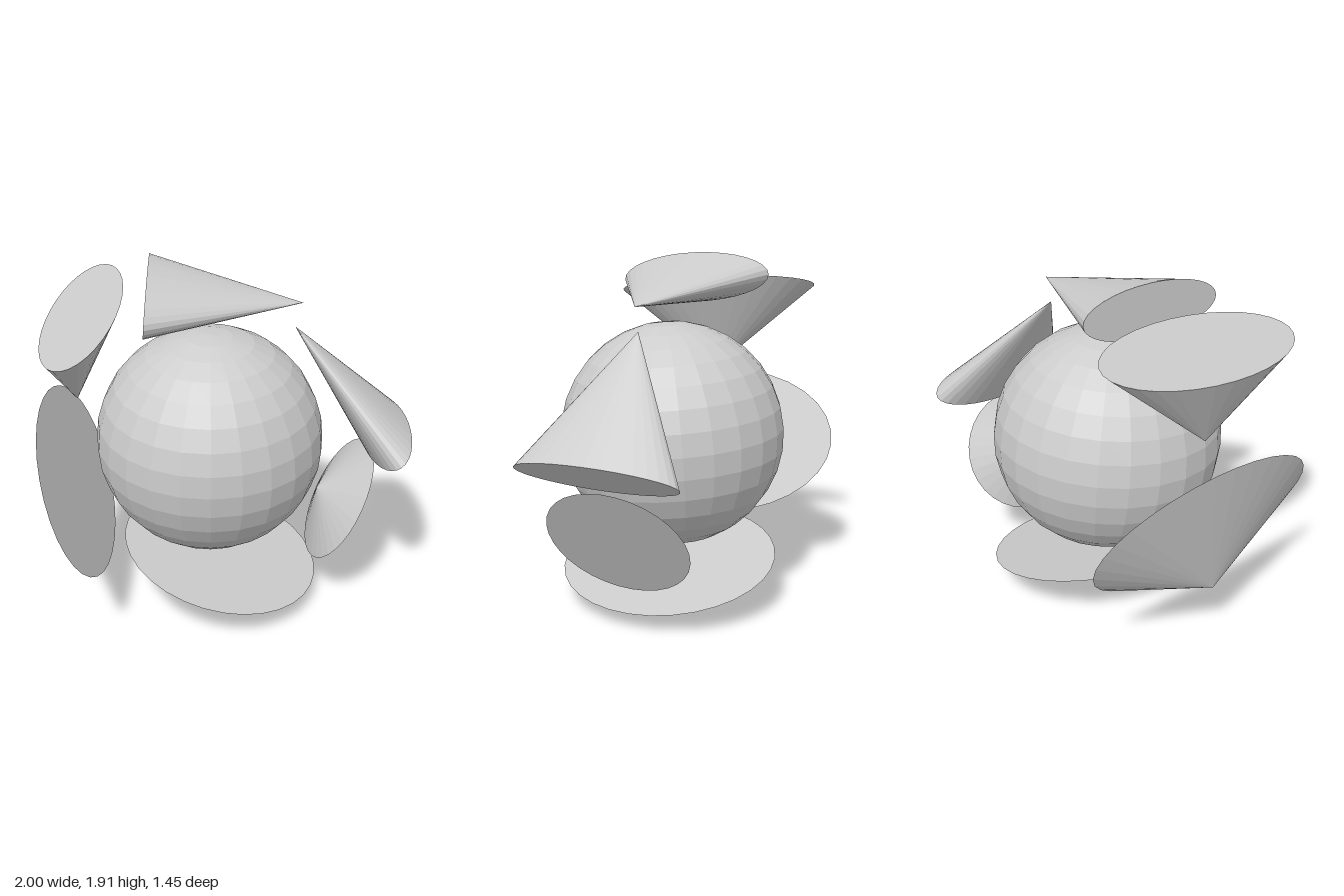
import * as THREE from 'three';

// apex [x, y], base centre [x, y], half width of the base in the xy plane, depth axis of the base
const CONES = [
  ['topCone', [0.41, 1.70], [-0.405, 1.765], [0.011, 0.139], [-0.018, -0.035, 0.44]],
  ['upperLeftCone', [-0.79, 1.19], [-0.74, 1.67], [0.2125, 0.089], [-0.033, -0.055, 0.61]],
  ['lowerLeftCone', [-0.90, 0.355], [-0.815, 0.72], [0.183, -0.412], [-0.028, -0.05, 0.725]],
  ['bottomCone', [-0.08, 0], [-0.025, 0.227], [0.545, -0.13], [-0.025, -0.025, 0.615]],
  ['lowerRightCone', [0.52, 0.60], [0.645, 0.53], [0.175, 0.313], [-0.003, 0, 0.395]],
  ['upperRightCone', [0.37, 1.57], [0.888, 0.938], [0.11, 0.09], [0, 0.005, 0.44]],
];

// Elliptical closed cone, stretched onto its base axes and apex
function coneGeometry(apex, base, half, depth) {
  const tip = new THREE.Vector3(apex[0], apex[1], 0);
  const centre = new THREE.Vector3(base[0], base[1], 0);
  const u = new THREE.Vector3(half[0], half[1], 0);
  const v = new THREE.Vector3(...depth);
  const axis = tip.clone().sub(centre);
  // keep the faces pointing outwards
  if (u.dot(axis.clone().cross(v)) < 0) u.negate();
  const matrix = new THREE.Matrix4().makeBasis(u, axis, v);
  matrix.setPosition(tip.add(centre).multiplyScalar(0.5));
  const geometry = new THREE.ConeGeometry(1, 1, 32);
  geometry.applyMatrix4(matrix);
  geometry.computeVertexNormals();
  return geometry;
}

export function createModel() {
  const group = new THREE.Group();
  const grey = new THREE.MeshStandardMaterial({ color: 0xcccccc, flatShading: true });
  grey.name = 'light grey';

  // Faceted central ball, leaning slightly forward
  const ball = new THREE.Mesh(new THREE.SphereGeometry(0.617, 24, 16), grey);
  ball.name = 'ball';
  ball.position.set(-0.083, 0.94, 0);
  ball.rotation.set(0.078, -0.045, 0);
  group.add(ball);

  // Ring of cones around the ball
  for (const [name, ...shape] of CONES) {
    const cone = new THREE.Mesh(coneGeometry(...shape), grey);
    cone.name = name;
    group.add(cone);
  }
  return group;
}
